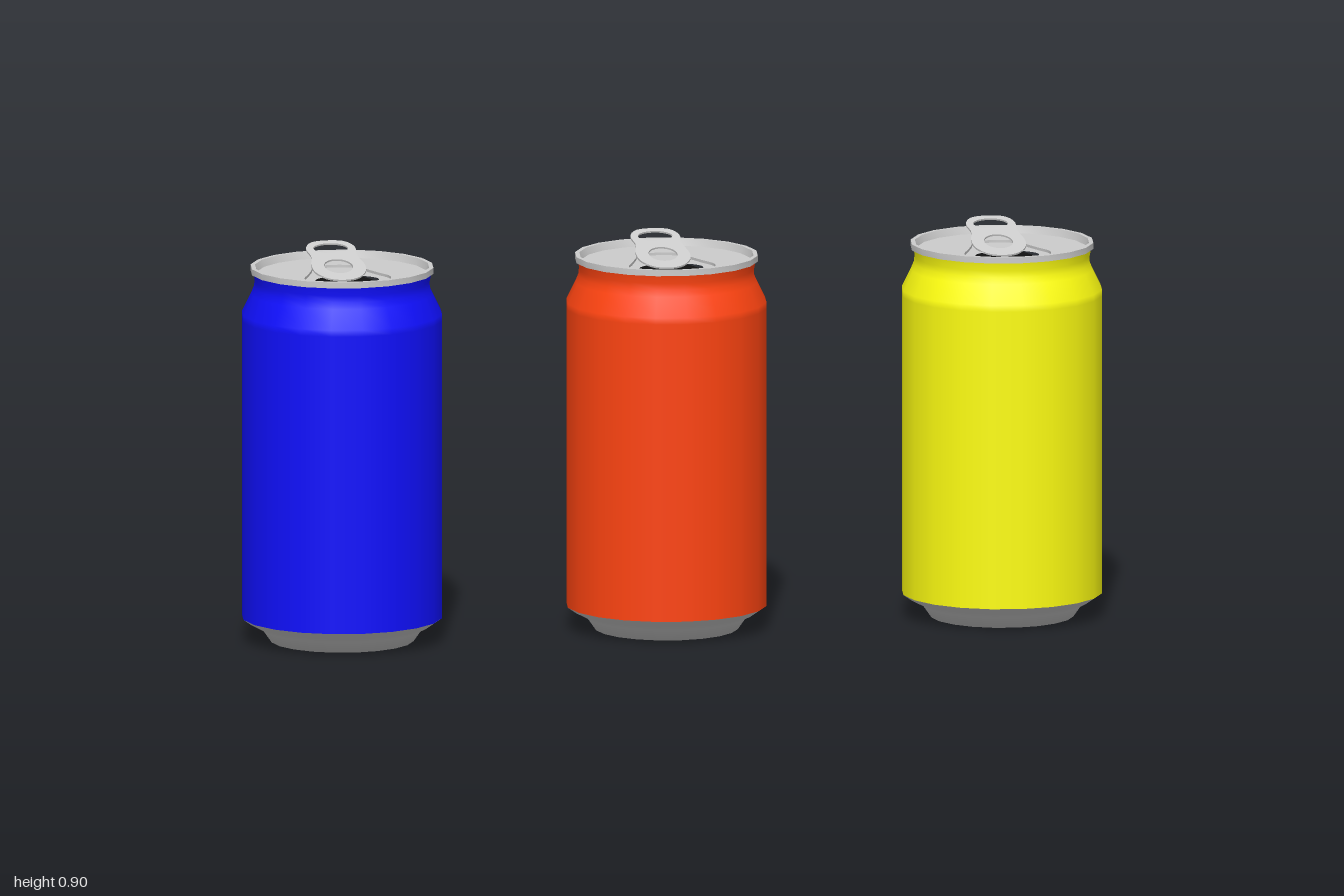
import * as THREE from 'three';
import { toCreasedNormals } from 'three/addons/utils/BufferGeometryUtils.js';

const SIDES = 20;
const paint = (color) => new THREE.MeshStandardMaterial({ color });
const metal = paint(0xcccccc);
const dark = paint(0x111111);

function part(name, geometry, material) {
  const mesh = new THREE.Mesh(geometry, material);
  mesh.name = name;
  return mesh;
}

function turned(points) {
  return new THREE.LatheGeometry(points.map(([r, y]) => new THREE.Vector2(r, y)), SIDES);
}

// Symmetric closed outline through half points [x, z], listed from back to front.
function outline(half, Kind = THREE.Path) {
  const right = half.map(([x, z]) => new THREE.Vector3(x, -z, 0));
  const left = half.filter(([x]) => x > 0).reverse().map(([x, z]) => new THREE.Vector3(-x, -z, 0));
  const curve = new THREE.CatmullRomCurve3([...right, ...left], true);
  return new Kind(curve.getPoints(48).slice(0, -1).map((p) => new THREE.Vector2(p.x, p.y)));
}

function oval(z, rx, rz) {
  return new THREE.Path().absellipse(0, -z, rx, rz, 0, Math.PI * 2);
}

// Horizontal plate whose top face lies at y = 0.
function plate(shape, thickness, holes = []) {
  shape.holes.push(...holes);
  const g = new THREE.ExtrudeGeometry(shape, { depth: thickness, bevelEnabled: false, curveSegments: SIDES });
  return toCreasedNormals(g.translate(0, 0, -thickness).rotateX(-Math.PI / 2), 0.7);
}

const panelEdge = [[0, -0.105], [0.045, -0.09], [0.062, -0.045], [0.08, 0.005],
  [0.1, 0.06], [0.085, 0.11], [0.045, 0.137], [0, 0.142]];
const mouthEdge = [[0, 0.005], [0.05, 0.018], [0.073, 0.05], [0.063, 0.09], [0.035, 0.118], [0, 0.124]];
const tabEdge = [[0, -0.166], [0.04, -0.158], [0.057, -0.13], [0.053, -0.09],
  [0.062, -0.045], [0.058, -0.01], [0.035, 0.02], [0, 0.03]];

function createCan(name, color) {
  const can = new THREE.Group();
  can.name = name;

  // Painted side wall with shoulder and neck
  can.add(part('body', turned([[0.23, 0.055], [0.23, 0.4], [0.23, 0.745], [0.23, 0.76], [0.208, 0.805],
    [0.202, 0.82], [0.201, 0.835], [0.205, 0.855]]), paint(color)));

  // Bare metal foot
  can.add(part('base', turned([[0, 0], [0.164, 0], [0.183, 0.027], [0.21, 0.041], [0.23, 0.055]]), metal));

  // Rolled rim
  can.add(part('rim', toCreasedNormals(turned([[0.192, 0.845], [0.2, 0.853], [0.21, 0.854], [0.21, 0.868],
    [0.2, 0.868], [0.192, 0.845]]), 0.6), metal));

  // Lid with a sunken panel and drinking hole
  const disc = new THREE.Shape().absarc(0, 0, 0.196, 0, Math.PI * 2);
  const lid = part('lid', plate(disc, 0.01, [outline(panelEdge)]), metal);
  lid.position.y = 0.852;
  const panel = part('lidPanel', plate(outline(panelEdge, THREE.Shape), 0.006, [outline(mouthEdge)]), metal);
  panel.position.y = 0.846;
  const mouth = part('mouthInterior', plate(outline(panelEdge, THREE.Shape), 0.003), dark);
  mouth.position.y = 0.832;
  can.add(lid, panel, mouth);

  // Pull tab, tilted up at the back
  const tab = part('pullTab', plate(outline(tabEdge, THREE.Shape), 0.004,
    [oval(-0.127, 0.04, 0.024), oval(-0.038, 0.033, 0.034)]), metal);
  tab.rotation.x = 0.283;
  tab.scale.z = 1.04;
  tab.position.y = 0.85;
  can.add(tab);
  return can;
}

export function createModel() {
  const model = new THREE.Group();
  model.name = 'drinkCans';
  [['blueCan', 0x1010ff, -0.77], ['redCan', 0xff4411, -0.013], ['yellowCan', 0xffff11, 0.77]]
    .forEach(([name, color, x]) => {
      const can = createCan(name, color);
      can.position.x = x;
      model.add(can);
    });
  return model;
}
